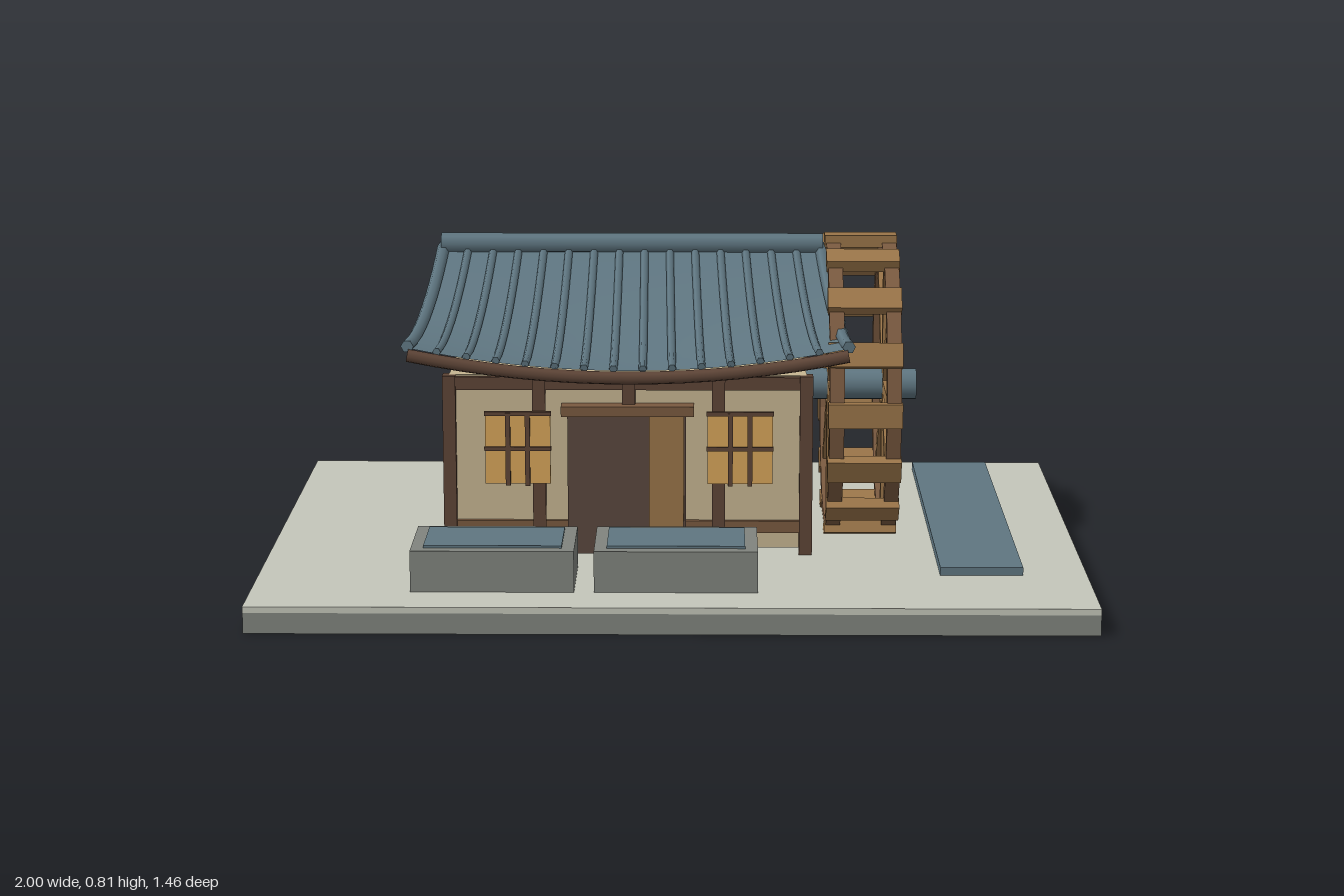
import * as THREE from 'three';

const mat = (name, color, side = THREE.FrontSide) => {
  const m = new THREE.MeshStandardMaterial({ color, side });
  m.name = name;
  return m;
};

export function createModel() {
  const root = new THREE.Group();
  const M = {
    stone: mat('stone grey', 0x80847e),
    ground: mat('pale ground', 0xc4c6ba),
    blue: mat('slate blue', 0x5f7681, THREE.DoubleSide),
    plaster: mat('cream plaster', 0xc6b692),
    dark: mat('dark timber', 0x5e4537),
    rim: mat('brown timber', 0x7a5a40),
    wood: mat('light timber', 0x9a7549),
    door: mat('dark door', 0x5a483e),
    paper: mat('amber window', 0xd8a65a),
    snow: mat('bare patch', 0xe0e0d2, THREE.DoubleSide),
  };
  const group = (name, parent = root) => {
    const g = new THREE.Group();
    g.name = name;
    parent.add(g);
    return g;
  };
  const add = (name, geo, m, parent = root) => {
    const mesh = new THREE.Mesh(geo, m);
    mesh.name = name;
    parent.add(mesh);
    return mesh;
  };
  // box given by its limits on each axis
  const box = (name, x0, x1, y0, y1, z0, z1, m, parent) => {
    const mesh = add(name, new THREE.BoxGeometry(x1 - x0, y1 - y0, z1 - z0), m, parent);
    mesh.position.set((x0 + x1) / 2, (y0 + y1) / 2, (z0 + z1) / 2);
    return mesh;
  };
  // surface from a rule fn(a, b), a and b in 0..1
  const sheet = (fn, na, nb) => {
    const pos = [], idx = [];
    for (let j = 0; j <= nb; j++)
      for (let i = 0; i <= na; i++) pos.push(...fn(i / na, j / nb).toArray());
    for (let j = 0; j < nb; j++)
      for (let i = 0; i < na; i++) {
        const k = j * (na + 1) + i, l = k + na + 1;
        idx.push(k, l, k + 1, k + 1, l, l + 1);
      }
    const g = new THREE.BufferGeometry();
    g.setAttribute('position', new THREE.Float32BufferAttribute(pos, 3));
    g.setIndex(idx);
    g.computeVertexNormals();
    return g;
  };
  // capped rod along a rule fn(t)
  const rod = (name, fn, n, r, m, parent, sides = 6) => {
    const pts = Array.from({ length: n + 1 }, (_, i) => fn(i / n));
    add(name, new THREE.TubeGeometry(new THREE.CatmullRomCurve3(pts), n, r, sides), m, parent);
    for (const [p, q] of [[pts[0], pts[1]], [pts[n], pts[n - 1]]]) {
      const cap = add(name + 'End', new THREE.CircleGeometry(r, sides), m, parent);
      cap.position.copy(p);
      cap.lookAt(p.clone().multiplyScalar(2).sub(q));
    }
  };

  // ground slab and water channel
  box('baseSlab', -1, 1, 0, 0.05, -0.73, 0.73, M.stone);
  box('groundTop', -1, 1, 0.05, 0.065, -0.73, 0.73, M.ground);
  box('waterChannel', 0.645, 0.845, 0.065, 0.085, -0.65, 0.44, M.blue);

  // stone troughs
  for (const x of [-0.62, -0.185]) {
    const g = group('trough');
    box('troughStone', x, x + 0.388, 0.065, 0.165, 0.365, 0.6, M.stone, g);
    box('troughWater', x + 0.03, x + 0.358, 0.16, 0.171, 0.395, 0.57, M.blue, g);
  }

  // walls and timber frame
  const house = group('house');
  const X0 = -0.55, X1 = 0.325, Z0 = -0.49, Z1 = 0.24;
  box('walls', X0, X1, 0.08, 0.515, Z0, Z1, M.plaster, house);
  for (const z of [Z0, Z1]) {
    for (const x of [X0, -0.33, -0.11, 0.11, X1])
      box('post', x - 0.016, x + 0.016, 0.065, 0.515, z - 0.018, z + 0.018, M.dark, house);
    box('topBeam', X0, X1, 0.48, 0.512, z - 0.014, z + 0.014, M.dark, house);
    box('lowRail', X0, X1, 0.12, 0.15, z - 0.012, z + 0.012, M.rim, house);
  }
  for (const x of [X0, X1]) {
    box('sidePost', x - 0.012, x + 0.012, 0.065, 0.515, -0.153, -0.097, M.rim, house);
    box('sideRail', x - 0.01, x + 0.01, 0.325, 0.35, Z0, Z1, M.rim, house);
  }

  // door
  box('doorLeaf', -0.26, 0.03, 0.07, 0.42, Z1, 0.268, M.door, house);
  box('doorPanel', -0.06, 0.025, 0.09, 0.42, 0.266, 0.273, M.wood, house);
  box('doorLintel', -0.275, 0.05, 0.42, 0.445, Z1, 0.285, M.rim, house);

  // lattice windows, front and back
  for (const [z, s, m] of [[Z1, 1, M.paper], [Z0, -1, M.plaster]])
    for (const x of [-0.382, 0.163]) {
      const w = group('window', house);
      w.position.set(x, 0.335, z);
      box('pane', -0.08, 0.08, -0.088, 0.085, s * 0.019 - 0.004, s * 0.019 + 0.004, m, w);
      for (const dx of [-0.024, 0.024])
        box('verticalBar', dx - 0.006, dx + 0.006, -0.092, 0.09, s * 0.024 - 0.007, s * 0.024 + 0.007, M.dark, w);
      for (const dy of [0, 0.088])
        box('crossBar', -0.082, 0.082, dy - 0.005, dy + 0.005, s * 0.023 - 0.006, s * 0.023 + 0.006, M.dark, w);
    }

  // curved tiled roof: u runs along the ridge (-1..1), t from ridge to eave
  const roof = group('roof');
  const CX = -0.11, CZ = -0.14;
  const P = (u, t, s, lift = 0) => new THREE.Vector3(
    CX + u * (0.48 + 0.055 * t),
    0.765 - (1 - Math.pow(1 - t, 1.5)) * (0.225 - 0.055 * u * u * t) + lift,
    CZ + s * 0.45 * t);
  const RIBS = 15;
  for (const s of [-1, 1]) {
    add('roofSlope', sheet((a, b) => P(a * 2 - 1, b, s), 20, 12), M.blue, roof);
    for (let i = 0; i <= RIBS; i++) {
      const u = (i / RIBS) * 2 - 1, end = i % RIBS === 0;
      rod(end ? 'hipRoll' : 'tileRib', t => P(u, t, s, 0.004), 10, end ? 0.016 : 0.01, M.blue, roof);
    }
    rod('eaveBeam', a => P(a * 2 - 1, 1, s, -0.018), 16, 0.016, M.dark, roof, 8);
  }
  // gable skirts with fanned ribs
  for (const u of [-1, 1]) {
    const E = (a, t) => P(u, t, -1).lerp(P(u, t, 1), a);
    add('gableSkirt', sheet(E, 4, 12), M.blue, roof);
    for (let i = 1; i < 8; i++) rod('skirtRib', t => E(i / 8, t), 8, 0.008, M.blue, roof, 5);
  }
  rod('ridgeRoll', a => new THREE.Vector3(-0.595 + a * 0.97, 0.778, CZ), 2, 0.026, M.blue, roof, 8);

  // pale bare patches on the back slope: strip index, z near ridge, z near eave
  const patches = [
    [1, -0.33, -0.5], [2, -0.325, -0.5], [3, -0.335, -0.505], [4, -0.365, -0.515], [5, -0.4, -0.525], [6, -0.435, -0.54],
    [8, -0.505, -0.55], [9, -0.505, -0.545], [10, -0.505, -0.535], [11, -0.505, -0.525], [12, -0.505, -0.515],
  ];
  for (const [i, za, zb] of patches) {
    const ta = (CZ - za) / 0.45, tb = (CZ - zb) / 0.45;
    add('barePatch', sheet((a, b) => P(((i + 0.08 + a * 0.84) / RIBS) * 2 - 1, ta + (tb - ta) * b, -1, 0.007), 1, 5), M.snow, roof);
  }

  // water wheel, turning about x
  const wheel = group('waterWheel');
  wheel.position.set(0.47, 0.42, -0.11);
  const axle = add('axle', new THREE.CylinderGeometry(0.04, 0.04, 0.29, 12), M.blue, wheel);
  axle.rotation.z = Math.PI / 2;
  const N = 16;
  for (let i = 0; i < N; i++) {
    const arm = group('wheelSector', wheel);
    arm.rotation.x = (i / N) * Math.PI * 2;
    box('paddle', -0.092, 0.09, 0.358, 0.388, -0.03, 0.03, M.wood, arm);
    for (const x of [-0.07, 0.07]) {
      if (i % 2 === 0) box('spoke', x - 0.012, x + 0.012, 0.03, 0.36, -0.016, 0.016, M.wood, arm);
      const half = group('rimSegment', arm);
      half.rotation.x = Math.PI / N;
      box('rim', x - 0.018, x + 0.018, 0.336, 0.368, -0.074, 0.074, M.rim, half);
    }
  }
  return root;
}
